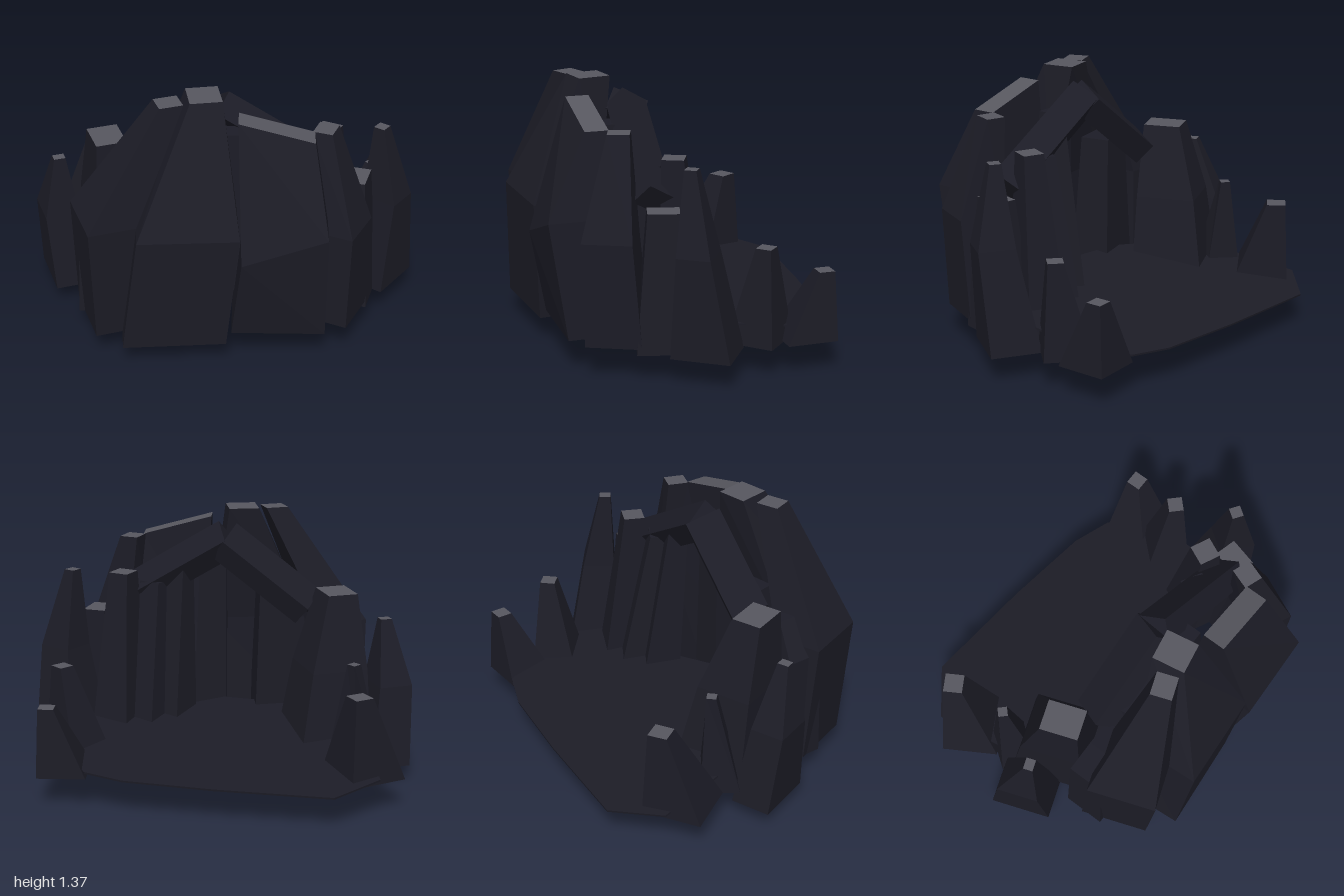
import * as THREE from 'three';

export function createModel() {
  const group = new THREE.Group();
  const darkRock = new THREE.MeshStandardMaterial({ color: 0x1c1c26 });
  const greyCap = new THREE.MeshStandardMaterial({ color: 0x57575f });
  darkRock.name = 'darkRock';
  greyCap.name = 'greyCap';
  darkRock.flatShading = greyCap.flatShading = true;

  // four corners of a section: [y, x, z, width, depth, turn in degrees, rise along width]
  function corners([y, x, z, w, d, turn = 0, rise = 0]) {
    const c = Math.cos(turn * Math.PI / 180), s = Math.sin(turn * Math.PI / 180);
    return [[-0.5, -0.5], [0.5, -0.5], [0.5, 0.5], [-0.5, 0.5]].map(([u, v]) =>
      [x + u * w * c - v * d * s, y + u * rise, z + u * w * s + v * d * c]);
  }

  // faceted pillar lofted through square sections, bottom to top
  function rock(name, sections, cap = true) {
    const rings = sections.map(corners), pos = [];
    const quad = (a, b, c, d) => pos.push(...a, ...b, ...c, ...a, ...c, ...d);
    quad(...rings[0]);
    for (let k = 0; k + 1 < rings.length; k++) {
      const lo = rings[k], hi = rings[k + 1];
      for (let i = 0; i < 4; i++) {
        const j = (i + 1) % 4;
        quad(lo[i], hi[i], hi[j], lo[j]);
      }
    }
    const top = rings[rings.length - 1];
    quad(top[0], top[3], top[2], top[1]);
    const geo = new THREE.BufferGeometry();
    geo.setAttribute('position', new THREE.Float32BufferAttribute(pos, 3));
    geo.computeVertexNormals();
    const n = pos.length / 3;
    geo.addGroup(0, n - 6, 0);
    geo.addGroup(n - 6, 6, cap ? 1 : 0);
    const mesh = new THREE.Mesh(geo, [darkRock, greyCap]);
    mesh.name = name;
    group.add(mesh);
  }

  // cave floor: thin plate rising gently from the back edge toward the wall
  const outline = [[-0.59, -0.79], [0, -0.73], [0.46, -0.66], [0.66, -0.58], [0.8, -0.35],
    [0.8, 0], [0.68, 0.15], [0.3, 0.16], [0, 0.3], [-0.3, 0.25], [-0.7, 0], [-0.76, -0.2], [-0.82, -0.6]];
  const shape = new THREE.Shape(outline.map(([x, z]) => new THREE.Vector2(x, -z)));
  const floorGeo = new THREE.ExtrudeGeometry(shape, { depth: 0.01, bevelEnabled: false });
  floorGeo.rotateX(-Math.PI / 2).translate(0, 0, 0.79).rotateX(-0.14).translate(0, 0.163, -0.79);
  const floor = new THREE.Mesh(floorGeo, darkRock);
  floor.name = 'floorSlab';
  group.add(floor);

  // short pillars around the open back
  rock('backRightPillar', [[0.16, -0.74, -0.44, 0.31, 0.3, -31], [0.61, -0.71, -0.55, 0.1, 0.1, -31]]);
  rock('backLeftPillar', [[0.16, 0.78, -0.45, 0.25, 0.26], [0.52, 0.85, -0.52, 0.08, 0.08]]);
  rock('sideLeftPillar', [[0.15, 0.73, -0.23, 0.25, 0.25, 45], [0.65, 0.81, -0.23, 0.08, 0.08, 45]]);
  rock('sideRightSpike', [[0.15, -0.7, -0.18, 0.2, 0.2, 35], [0.68, -0.69, -0.23, 0.05, 0.05, 45]]);

  // outer spikes on both sides
  rock('leftSpike', [[0.14, 0.81, 0.07, 0.26, 0.3, 35], [0.66, 0.845, 0.13, 0.19, 0.17, 35],
    [1.07, 0.8, 0.15, 0.06, 0.06, 35]]);
  rock('rightSpike', [[0.09, -0.845, 0.01, 0.21, 0.32, -20], [0.51, -0.88, 0.04, 0.18, 0.22, -20],
    [0.84, -0.855, 0.09, 0.06, 0.05, -20]]);

  // leaning pillars of the front wall
  rock('rightWallPillar', [[0.12, -0.54, -0.01, 0.4, 0.4, -20], [0.6, -0.57, 0.04, 0.3, 0.32, -20],
    [0.98, -0.6, 0.11, 0.16, 0.2, -20]]);
  rock('frontRightPillar', [[0.12, -0.545, 0.44, 0.32, 0.36, -20], [0.75, -0.59, 0.51, 0.25, 0.36, -20],
    [1.36, -0.26, 0.47, 0.12, 0.11, -20]]);
  rock('frontMiddlePillar', [[0.12, -0.25, 0.56, 0.52, 0.36, -5], [0.75, -0.17, 0.59, 0.5, 0.36, -4],
    [1.37, -0.09, 0.41, 0.16, 0.17, -10]]);
  rock('frontLeftPillar', [[0.17, 0.285, 0.5, 0.47, 0.38], [0.7, 0.31, 0.58, 0.42, 0.4, 0, 0.15],
    [1.25, 0.265, 0.515, 0.37, 0.12, 0, -0.1]]);
  rock('frontLeftCorner', [[0.17, 0.56, 0.45, 0.28, 0.28, 25], [0.7, 0.585, 0.49, 0.24, 0.25, 25],
    [1.2, 0.505, 0.42, 0.1, 0.11, 20]]);
  rock('leftWallPillar', [[0.14, 0.66, 0.25, 0.24, 0.26, 15], [0.84, 0.675, 0.25, 0.12, 0.16, 15]]);
  rock('leftInnerPillar', [[0.14, 0.55, 0.09, 0.22, 0.26, 25], [1.06, 0.53, 0.15, 0.11, 0.11, 25]]);

  // uncapped rocks closing the cave wall
  rock('rightFiller', [[0.12, -0.6, 0.33, 0.29, 0.22], [0.7, -0.6, 0.34, 0.24, 0.2],
    [0.88, -0.52, 0.33, 0.14, 0.12]], false);
  rock('rightInnerRock', [[0.15, -0.3, 0.33, 0.3, 0.22, -10], [0.95, -0.28, 0.3, 0.2, 0.16, -10]], false);
  rock('centreInnerRock', [[0.26, 0.08, 0.38, 0.18, 0.12], [1.15, 0.06, 0.36, 0.14, 0.1]], false);
  [[0.4, 0.07, 1.0], [0.27, 0.14, 1.07]].forEach(([x, z, y]) =>
    rock('leftInnerRock', [[0.16, x, z, 0.17, 0.2, 30], [y, x - 0.03, z * 0.4 + 0.18, 0.12, 0.1, 30]], false));

  // rock hanging under the base
  rock('underRock', [[0.04, -0.47, 0.17, 0.24, 0.24, -20, 0.08], [0.18, -0.47, 0.17, 0.26, 0.25, -20]], false);

  // two slanted roof beams meeting at the peak
  function beam(name, from, to, height, depth, roll) {
    const a = new THREE.Vector3(...from), b = new THREE.Vector3(...to);
    const geo = new THREE.BoxGeometry(a.distanceTo(b), height, depth).rotateX(roll);
    const mesh = new THREE.Mesh(geo, darkRock);
    mesh.quaternion.setFromUnitVectors(new THREE.Vector3(1, 0, 0), b.clone().sub(a).normalize());
    mesh.position.copy(a.add(b).multiplyScalar(0.5));
    mesh.name = name;
    group.add(mesh);
  }
  beam('rightRoofBeam', [-0.45, 0.87, 0.2], [0.0, 1.22, 0.23], 0.13, 0.19, -0.5);
  beam('leftRoofBeam', [-0.02, 1.23, 0.23], [0.58, 0.87, 0.27], 0.13, 0.16, -0.6);

  return group;
}
